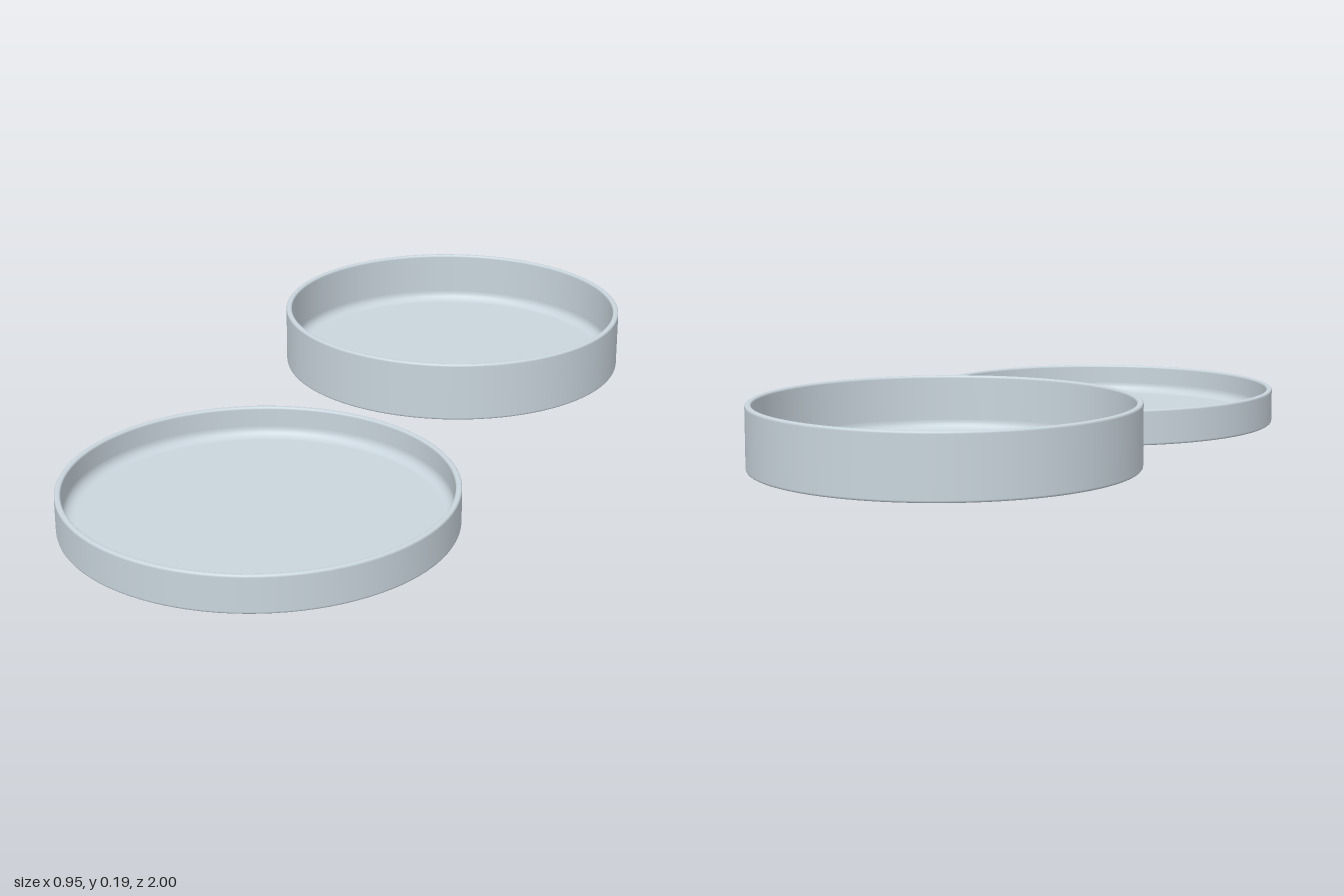
import * as THREE from 'three';

const WALL = 0.015;   // side wall thickness
const FLOOR = 0.015;  // base thickness

// Adds a rounded corner, with a holding point at each end so flats shade flat
function corner(points, cx, cy, r, from, to, steps) {
  const hold = 0.001;
  const dir = Math.sign(to - from);
  const at = (a) => new THREE.Vector2(cx + r * Math.cos(a), cy + r * Math.sin(a));
  const tangent = (a) => new THREE.Vector2(-Math.sin(a), Math.cos(a)).multiplyScalar(dir * hold);
  points.push(at(from).sub(tangent(from)));
  for (let i = 0; i <= steps; i++) points.push(at(from + ((to - from) * i) / steps));
  points.push(at(to).add(tangent(to)));
}

// Shallow round dish: flat base, straight wall, rounded rim, filleted inside
function makeDish(name, radius, height, material) {
  const q = Math.PI / 2;
  const edge = 0.005;
  const fillet = 0.025;
  const inner = radius - WALL;
  const points = [new THREE.Vector2(0, 0)];
  corner(points, radius - edge, edge, edge, -q, 0, 4);                 // bottom edge
  corner(points, radius - edge, height - edge, edge, 0, q, 4);         // outer rim
  corner(points, inner + edge, height - edge, edge, q, 2 * q, 4);      // inner rim
  corner(points, inner - fillet, FLOOR + fillet, fillet, 0, -q, 8);    // inside fillet
  points.push(new THREE.Vector2(0, FLOOR));

  const mesh = new THREE.Mesh(new THREE.LatheGeometry(points, 96), material);
  mesh.name = name;
  return mesh;
}

export function createModel() {
  const glass = new THREE.MeshStandardMaterial({ color: 0xc8d4dc });
  glass.name = 'pale blue-grey glass';

  const model = new THREE.Group();
  model.name = 'dishAndLid';

  // Wide, low lid resting in front
  const lid = makeDish('lid', 0.474, 0.093, glass);
  lid.position.set(0, 0, 0.526);

  // Narrower, deeper dish behind, slightly raised
  const dish = makeDish('dish', 0.455, 0.152, glass);
  dish.position.set(0, 0.041, -0.545);

  model.add(lid, dish);
  return model;
}
